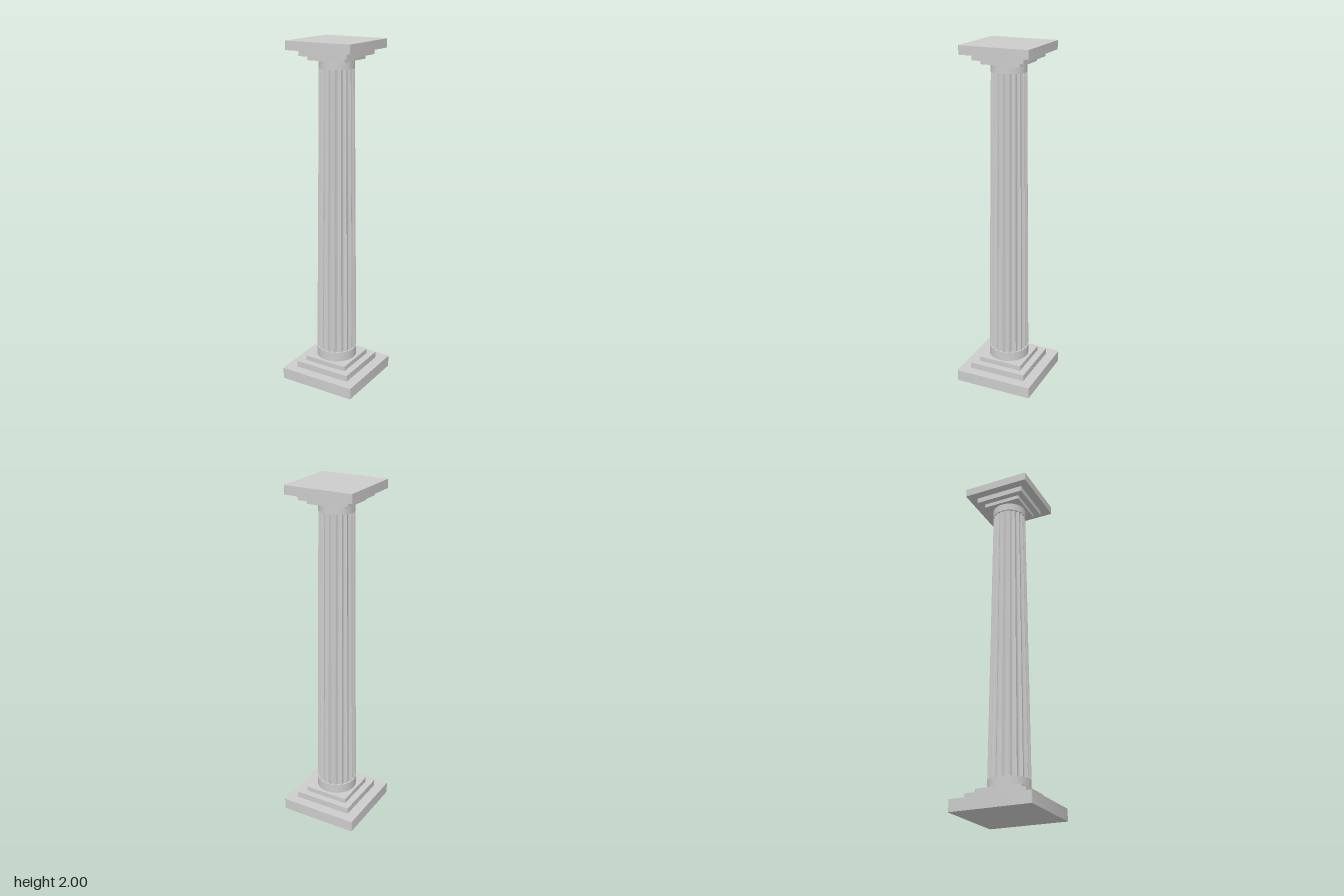
import * as THREE from 'three';
import { toCreasedNormals } from 'three/addons/utils/BufferGeometryUtils.js';

const material = new THREE.MeshStandardMaterial({ color: 0xcccccc });

function add(group, name, geometry) {
  const mesh = new THREE.Mesh(toCreasedNormals(geometry, 0.5), material);
  mesh.name = name;
  group.add(mesh);
}

// Square slab with slightly rounded upright corners, from y0 to y1
function slab(half, y0, y1, r = 0.007) {
  const shape = new THREE.Shape();
  const c = half - r;
  shape.absarc(c, c, r, 0, Math.PI / 2);
  shape.absarc(-c, c, r, Math.PI / 2, Math.PI);
  shape.absarc(-c, -c, r, Math.PI, Math.PI * 1.5);
  shape.absarc(c, -c, r, Math.PI * 1.5, Math.PI * 2);
  shape.closePath();
  const g = new THREE.ExtrudeGeometry(shape, { depth: y1 - y0, bevelEnabled: false, curveSegments: 4 });
  return g.rotateX(-Math.PI / 2).translate(0, y0, 0);
}

function drum(rTop, rBottom, y0, y1, segments = 64) {
  return new THREE.CylinderGeometry(rTop, rBottom, y1 - y0, segments).translate(0, (y0 + y1) / 2, 0);
}

// Tapered shaft with concave flutes meeting at sharp ridges
function flutedShaft(flutes = 20, steps = 8, depth = 0.1) {
  const g = drum(0.098, 0.118, 0.19, 1.85, flutes * steps);
  const p = g.attributes.position;
  for (let i = 0; i < p.count; i++) {
    const x = p.getX(i), z = p.getZ(i);
    const t = Math.atan2(x, z) * flutes / 2;
    const k = 1 - depth * Math.abs(Math.cos(t));
    p.setX(i, x * k);
    p.setZ(i, z * k);
  }
  return g;
}

export function createModel() {
  const model = new THREE.Group();
  model.name = 'column';

  // Stepped base
  const base = new THREE.Group();
  base.name = 'base';
  add(base, 'plinth', slab(0.235, 0, 0.067));
  add(base, 'lowerStep', slab(0.175, 0.067, 0.104));
  add(base, 'upperStep', slab(0.135, 0.104, 0.133));
  add(base, 'baseCollar', drum(0.118, 0.118, 0.133, 0.19));

  // Stepped capital
  const capital = new THREE.Group();
  capital.name = 'capital';
  add(capital, 'neckCollar', drum(0.099, 0.099, 1.85, 1.895));
  add(capital, 'lowerMoulding', slab(0.115, 1.895, 1.918));
  add(capital, 'upperMoulding', slab(0.15, 1.918, 1.951));
  add(capital, 'abacus', slab(0.2, 1.951, 2));

  model.add(base, capital);
  add(model, 'shaft', flutedShaft());
  return model;
}
